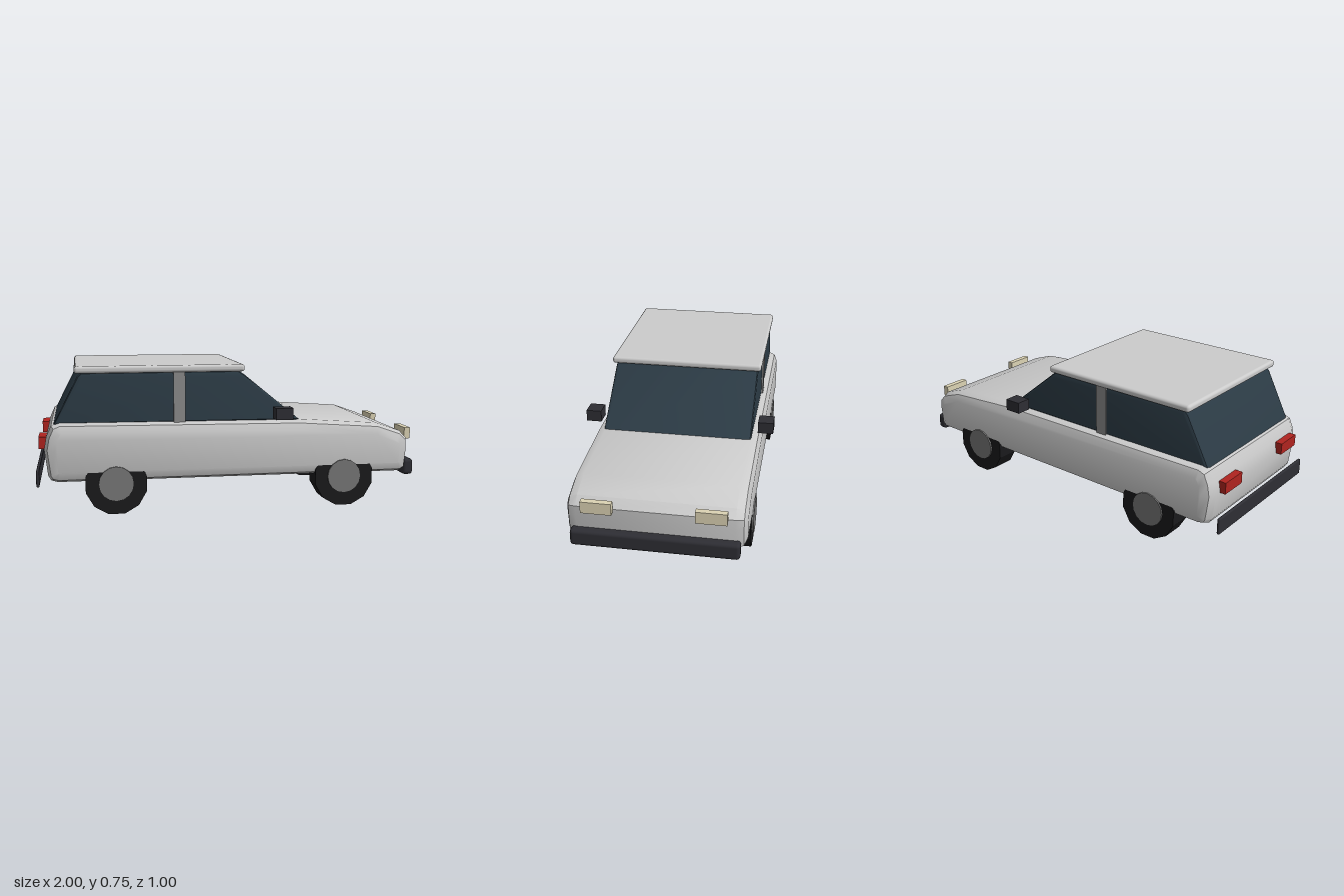
import * as THREE from 'three';
import { toCreasedNormals } from 'three/addons/utils/BufferGeometryUtils.js';
import { RoundedBoxGeometry } from 'three/addons/geometries/RoundedBoxGeometry.js';

const material = (color) => new THREE.MeshStandardMaterial({ color });
const paint = material(0xcccccc);
const glass = material(0x2b3a44);
const rubber = material(0x1a1a1c);
const steel = material(0x777777);
const pillarGrey = material(0x8c8c8c);
const trim = material(0x2e2e34);
const lampWhite = material(0xdcd3b4);
const lampRed = material(0xb0241f);

// Side profile (x, y) extruded across the car, with a rounded edge kept inside the outline
function profileBody(points, halfWidth, bevel) {
  const shape = new THREE.Shape(points.map(([x, y]) => new THREE.Vector2(x, y)));
  const depth = 2 * (halfWidth - bevel);
  const geometry = new THREE.ExtrudeGeometry(shape, {
    depth, bevelEnabled: true, bevelSize: bevel, bevelThickness: bevel,
    bevelOffset: -bevel, bevelSegments: 2, steps: 1,
  });
  geometry.translate(0, 0, -depth / 2);
  return toCreasedNormals(geometry, 0.5);
}

export function createModel() {
  const car = new THREE.Group();
  car.name = 'car';

  const add = (name, geometry, mat, x = 0, y = 0, z = 0) => {
    const mesh = new THREE.Mesh(geometry, mat);
    mesh.name = name;
    mesh.position.set(x, y, z);
    car.add(mesh);
    return mesh;
  };

  // Lower body: tail, waistline, bonnet and nose
  add('body', profileBody([
    [-0.89, 0.165], [0.92, 0.165], [0.952, 0.185], [0.963, 0.29], [0.96, 0.345],
    [0.92, 0.385], [0.79, 0.43], [0.36, 0.46], [-0.88, 0.472], [-0.92, 0.455],
    [-0.945, 0.4], [-0.957, 0.335], [-0.94, 0.2], [-0.925, 0.175],
  ], 0.437, 0.055), paint);

  // Glasshouse with sloping windscreen and tailgate
  add('windows', profileBody([
    [-0.91, 0.455], [0.37, 0.455], [0.07, 0.7], [0.04, 0.72], [-0.765, 0.72], [-0.785, 0.7],
  ], 0.39, 0.018), glass);

  add('doorPillars', new THREE.BoxGeometry(0.06, 0.26, 0.8), pillarGrey, -0.27, 0.59, 0);
  add('roof', new RoundedBoxGeometry(0.87, 0.037, 0.814, 2, 0.015), paint, -0.365, 0.735, 0);

  // Bumpers
  add('frontBumper', new RoundedBoxGeometry(0.058, 0.086, 0.82, 2, 0.018), trim, 0.968, 0.188, 0);
  add('rearBumper', new RoundedBoxGeometry(0.016, 0.086, 0.82, 2, 0.007), trim, -0.992, 0.188, 0);

  // Paired parts on each side
  for (const [side, s] of [['left', -1], ['right', 1]]) {
    add(`${side}Headlight`, new THREE.BoxGeometry(0.032, 0.06, 0.15), lampWhite, 0.981, 0.363, s * 0.273);
    add(`${side}TailLight`, new THREE.BoxGeometry(0.038, 0.06, 0.15), lampRed, -0.966, 0.363, s * 0.273);
    add(`${side}Mirror`, new THREE.BoxGeometry(0.09, 0.06, 0.08), trim, 0.26, 0.503, s * 0.459);

    for (const [end, x] of [['Front', 0.6], ['Rear', -0.6]]) {
      const tyre = new THREE.CylinderGeometry(0.16, 0.16, 0.117, 12);
      tyre.rotateY(Math.PI / 12).rotateX(Math.PI / 2);
      add(`${side}${end}Tyre`, toCreasedNormals(tyre, 0.3), rubber, x, 0.155, s * 0.3775);
      const hub = new THREE.CylinderGeometry(0.09, 0.09, 0.127, 16).rotateX(Math.PI / 2);
      add(`${side}${end}Hubcap`, hub, steel, x, 0.157, s * 0.381);
    }
  }
  return car;
}
